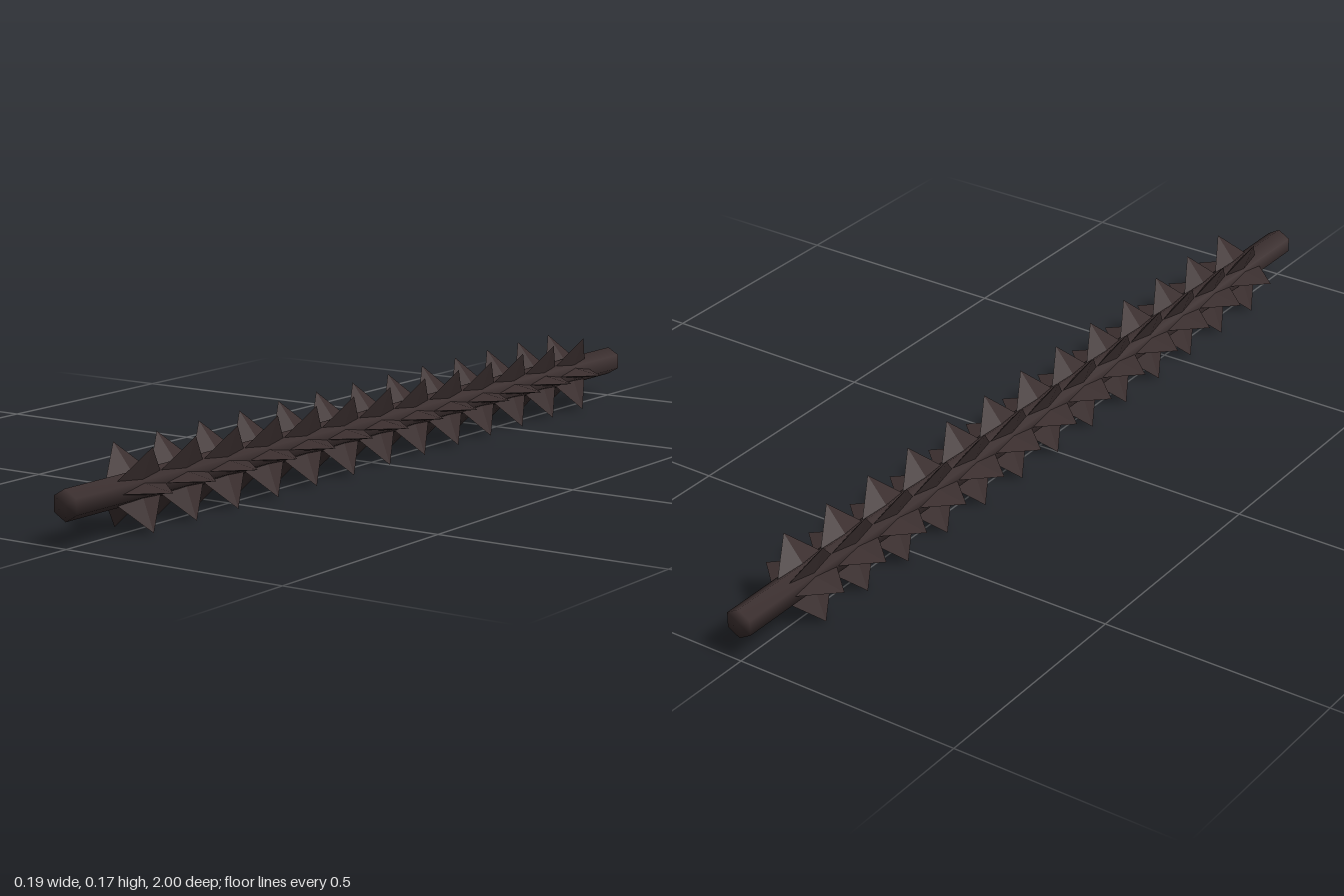
import * as THREE from 'three';
import { mergeVertices } from 'three/addons/utils/BufferGeometryUtils.js';

const AXIS_Y = 0.084;      // height of the rod's axis
const ROD_R = 0.032;       // corner radius of the hexagonal rod
const FACE_R = ROD_R * Math.cos(Math.PI / 6);
const TIP_R = 0.097;       // distance of the spike tips from the axis
const RINGS = 13;
const SPACING = 1.6 / (RINGS - 1);

// Six-sided rod along z, shaded softly over sides and ends
function rodGeometry() {
  let geo = new THREE.CylinderGeometry(ROD_R, ROD_R, 2, 6, 1);
  geo.rotateX(Math.PI / 2);
  geo.deleteAttribute('normal');
  geo.deleteAttribute('uv');
  geo = mergeVertices(geo);
  geo.computeVertexNormals();
  return geo;
}

// Blade-like four-sided spike: thin across, long along the rod
function spikeGeometry() {
  const height = TIP_R - FACE_R;
  let geo = new THREE.ConeGeometry(1, height, 4, 1, true);
  geo.scale(0.0115, 1, 0.065);
  geo.translate(0, FACE_R + height / 2, 0);
  geo = geo.toNonIndexed();
  geo.computeVertexNormals();
  return geo;
}

export function createModel() {
  const model = new THREE.Group();
  model.name = 'spikedRod';
  const darkBrown = new THREE.MeshStandardMaterial({ color: 0x3b2f2f });
  darkBrown.name = 'darkBrown';

  const rod = new THREE.Mesh(rodGeometry(), darkBrown);
  rod.name = 'rod';
  rod.position.y = AXIS_Y;
  model.add(rod);

  // Rings of six spikes, one on each face of the rod
  const spikeGeo = spikeGeometry();
  for (let i = 0; i < RINGS; i++) {
    const ring = new THREE.Group();
    ring.name = 'spikeRing';
    ring.position.set(0, AXIS_Y, -0.8 + i * SPACING);
    for (let k = 0; k < 6; k++) {
      const spike = new THREE.Mesh(spikeGeo, darkBrown);
      spike.name = 'spike';
      spike.rotation.z = k * Math.PI / 3 - Math.PI / 2;
      ring.add(spike);
    }
    model.add(ring);
  }
  return model;
}
